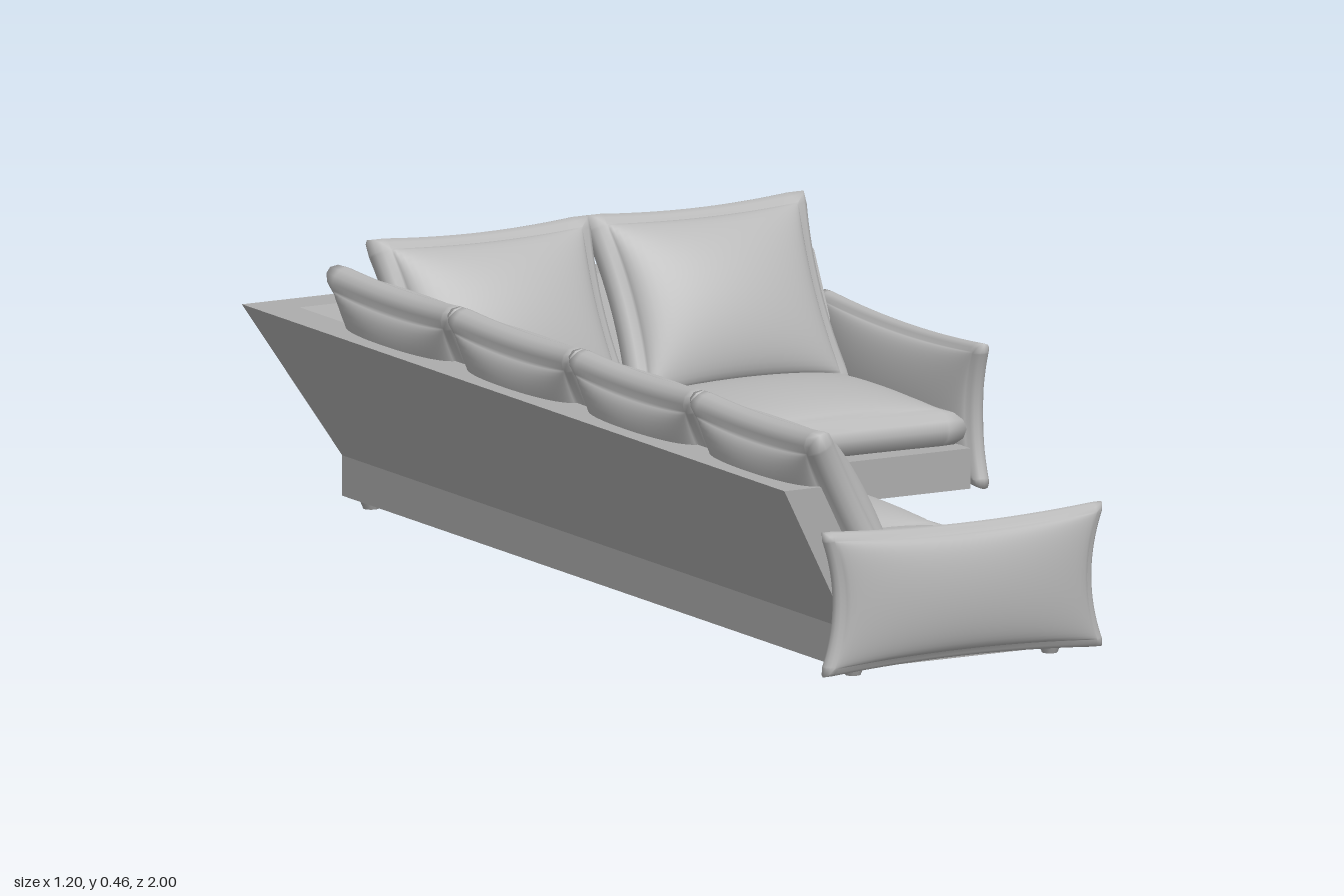
import * as THREE from 'three';
import { mergeVertices } from 'three/addons/utils/BufferGeometryUtils.js';

// Soft pillow: pinched outline, round rim (radius e), domed faces (half thickness t)
function pillowGeometry(w, h, t, e, pinchX, pinchY, flatBack = false) {
  const geo = new THREE.BoxGeometry(2, 2, 2, 24, 24, 6);
  const p = geo.attributes.position;
  for (let i = 0; i < p.count; i++) {
    const bx = p.getX(i), by = p.getY(i), bz = p.getZ(i);
    const u = Math.sin(bx * Math.PI / 2), v = Math.sin(by * Math.PI / 2);
    let x = (w / 2 - e) * u - pinchX * u * (1 - v * v);
    let y = (h / 2 - e) * v - pinchY * v * (1 - u * u);
    let z = e * Math.sin(bz * Math.PI / 2);
    if (Math.abs(bz) > 0.999) {
      const dome = Math.sqrt(Math.max(0, (1 - u * u) * (1 - v * v)));
      if (bz > 0 || !flatBack) z += Math.sign(bz) * (t - e) * dome;
    } else {
      const out = e * Math.cos(bz * Math.PI / 2);
      if (Math.abs(bx) > 0.999) x += Math.sign(bx) * out;
      if (Math.abs(by) > 0.999) y += Math.sign(by) * out;
    }
    p.setXYZ(i, x, y, z);
  }
  geo.deleteAttribute('uv');
  geo.deleteAttribute('normal');
  const merged = mergeVertices(geo, 1e-5);
  merged.computeVertexNormals();
  return merged;
}

export function createModel() {
  const fabric = new THREE.MeshStandardMaterial({ color: 0xb8b8b8 });
  fabric.name = 'cushion grey';
  const frame = new THREE.MeshStandardMaterial({ color: 0xacacac });
  frame.name = 'frame grey';
  const sofa = new THREE.Group();
  sofa.name = 'cornerSofa';

  const add = (name, geo, mat, x = 0, y = 0, z = 0, rx = 0, ry = 0) => {
    const m = new THREE.Mesh(geo, mat);
    m.name = name;
    m.position.set(x, y, z);
    m.rotation.set(rx, ry, 0, 'YXZ');
    sofa.add(m);
    return m;
  };

  const LEFT = -0.47, BACK = -0.87, END_X = 0.525, END_Z = 0.925;
  const BOTTOM = 0.017, DECK = 0.09, RIM = 0.353;

  // L-shaped base (shape y is -z)
  const plan = new THREE.Shape([
    [LEFT, -END_Z], [0, -END_Z], [0, 0.37], [END_X, 0.37], [END_X, -BACK], [LEFT, -BACK],
  ].map(([x, y]) => new THREE.Vector2(x, y)));
  const base = new THREE.ExtrudeGeometry(plan, { depth: DECK - BOTTOM, bevelEnabled: false });
  base.rotateX(-Math.PI / 2);
  add('base', base, frame, 0, BOTTOM, 0);

  // Leaning back panels, mitred where they meet; profile is (outward, up)
  const profile = new THREE.Shape([[-0.075, DECK], [0, DECK], [0.13, RIM], [0.055, RIM]]
    .map(([d, y]) => new THREE.Vector2(d, y)));
  const panel = (place) => {
    const geo = new THREE.ExtrudeGeometry(profile, { depth: 1, bevelEnabled: false });
    const p = geo.attributes.position;
    for (let i = 0; i < p.count; i++) {
      const [x, z] = place(p.getX(i), p.getZ(i));
      p.setXYZ(i, x, p.getY(i), z);
    }
    geo.computeVertexNormals();
    return geo;
  };
  const lerp = THREE.MathUtils.lerp;
  add('backPanel', panel((d, t) => [lerp(LEFT - d, END_X, t), BACK - d]), frame);
  add('sidePanel', panel((d, t) => [LEFT - d, lerp(END_Z, BACK - d, t)]), frame);

  // Seat cushions: four in the long row, one in the short arm
  const longSeat = pillowGeometry(0.42, 0.43, 0.075, 0.033, 0.006, 0.003, true);
  for (let i = 0; i < 4; i++) {
    add('seatCushion', longSeat, fabric, -0.205, 0.124, 0.707 - i * 0.425, -Math.PI / 2);
  }
  const shortSeat = pillowGeometry(0.525, 0.42, 0.075, 0.033, 0.008, 0.006, true);
  add('seatCushion', shortSeat, fabric, 0.258, 0.124, -0.585, -Math.PI / 2);

  // Leaning back cushions
  const tilt = -0.49;
  const backCushion = pillowGeometry(0.447, 0.375, 0.085, 0.027, 0.014, 0.009);
  for (let i = 0; i < 4; i++) {
    add('backCushion', backCushion, fabric, -0.457, 0.288, 0.732 - i * 0.43, tilt, Math.PI / 2);
  }
  for (const x of [-0.148, 0.293]) {
    add('backCushion', backCushion, fabric, x, 0.288, -0.866, tilt);
  }

  // Upright arm pillows at both ends
  const armPillow = pillowGeometry(0.568, 0.262, 0.046, 0.015, 0.022, 0.011);
  add('armPillow', armPillow, fabric, -0.253, 0.146, 0.952);
  add('armPillow', armPillow, fabric, 0.549, 0.146, -0.645, 0, Math.PI / 2);

  // Small tapered feet
  const foot = new THREE.CylinderGeometry(0.022, 0.014, 0.02, 12);
  for (const [x, z] of [[-0.44, 0.89], [-0.038, 0.89], [-0.44, -0.82], [0.487, -0.82]]) {
    add('foot', foot, frame, x, 0.01, z);
  }
  return sofa;
}
